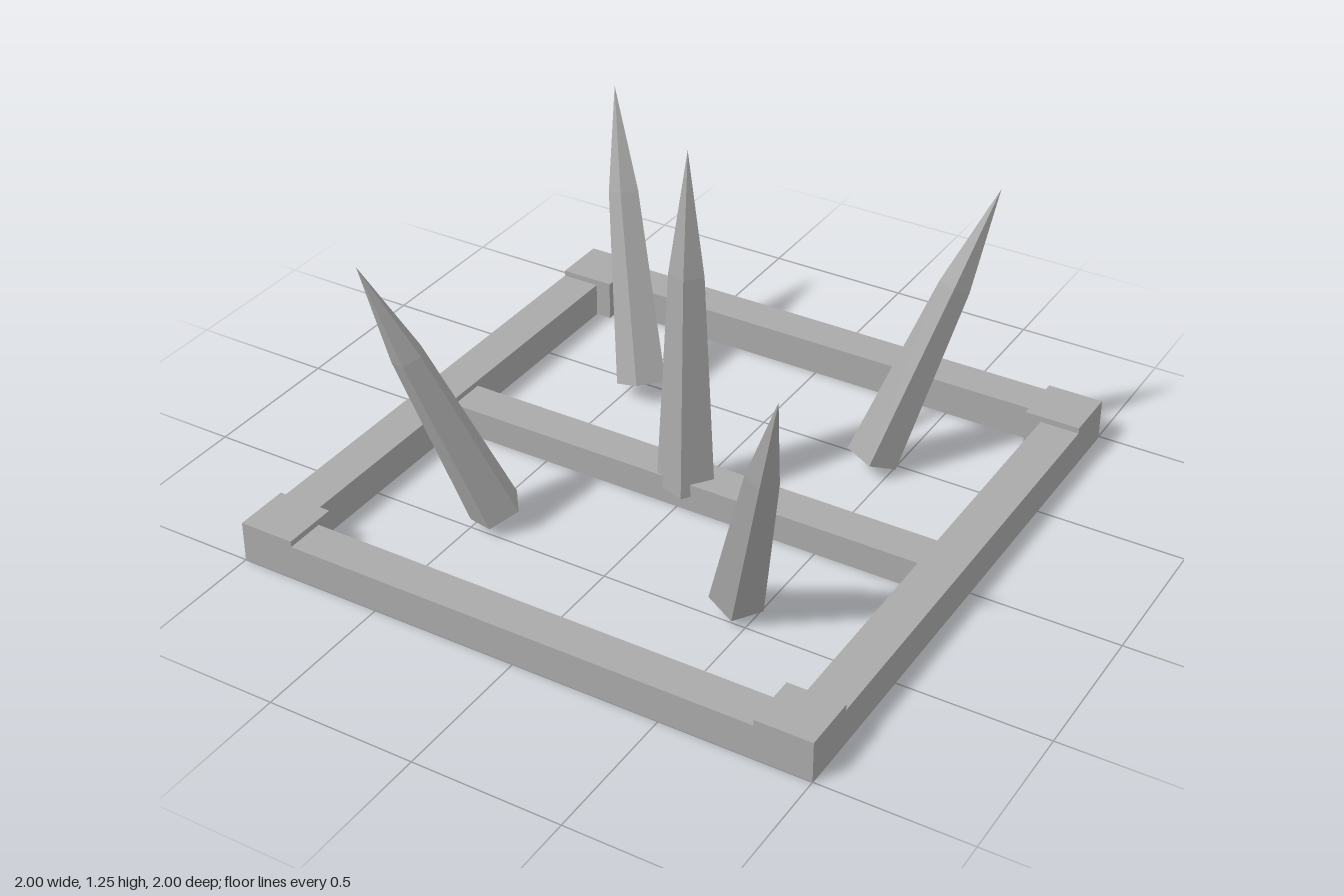
import * as THREE from 'three';

export function createModel() {
  const model = new THREE.Group();
  const grey = new THREE.MeshStandardMaterial({ color: 0xaaaaaa, flatShading: true });
  grey.name = 'grey metal';

  // Box standing on the ground
  function block(name, w, h, d, x, z) {
    const mesh = new THREE.Mesh(new THREE.BoxGeometry(w, h, d), grey);
    mesh.name = name;
    mesh.position.set(x, h / 2, z);
    model.add(mesh);
  }

  // Five-sided spike running from base to tip, with a shoulder below the point
  function spike(name, radius, base, tip) {
    const axis = tip.clone().sub(base);
    const length = axis.length();
    const profile = [
      [0, 0], [radius, 0], [radius * 0.6, length * 0.65], [0, length],
    ].map(([r, y]) => new THREE.Vector2(r, y));
    const mesh = new THREE.Mesh(new THREE.LatheGeometry(profile, 5, Math.PI / 2), grey);
    mesh.name = name;
    mesh.position.copy(base);
    mesh.quaternion.setFromUnitVectors(new THREE.Vector3(0, 1, 0), axis.normalize());
    model.add(mesh);
  }

  // Square frame with a middle bar
  const railWidth = 0.135, railHeight = 0.12, cornerSize = 0.19;
  const railLength = 2 - 2 * cornerSize;
  const railAt = 1 - railWidth / 2, cornerAt = 1 - cornerSize / 2;
  for (const s of [-1, 1]) {
    block(s > 0 ? 'frontRail' : 'backRail', railLength, railHeight, railWidth, 0, s * railAt);
    block(s > 0 ? 'leftRail' : 'rightRail', railWidth, railHeight, railLength, s * railAt, 0);
  }
  block('middleBar', 2 - 2 * railWidth, 0.1, 0.135, 0, 0);

  // Upright centre spike
  spike('centreSpike', 0.1, new THREE.Vector3(0, 0.055, 0), new THREE.Vector3(0, 1.25, 0));

  // Corner blocks and the spikes leaning out towards them
  for (const sx of [-1, 1]) {
    for (const sz of [-1, 1]) {
      const place = (sz > 0 ? 'front' : 'back') + (sx > 0 ? 'Left' : 'Right');
      block(place + 'Corner', cornerSize, 0.14, cornerSize, sx * cornerAt, sz * cornerAt);
      spike(place + 'Spike', 0.09,
        new THREE.Vector3(sx * 0.44, 0.055, sz * 0.44),
        new THREE.Vector3(sx * 0.71, 0.99, sz * 0.71));
    }
  }
  return model;
}
